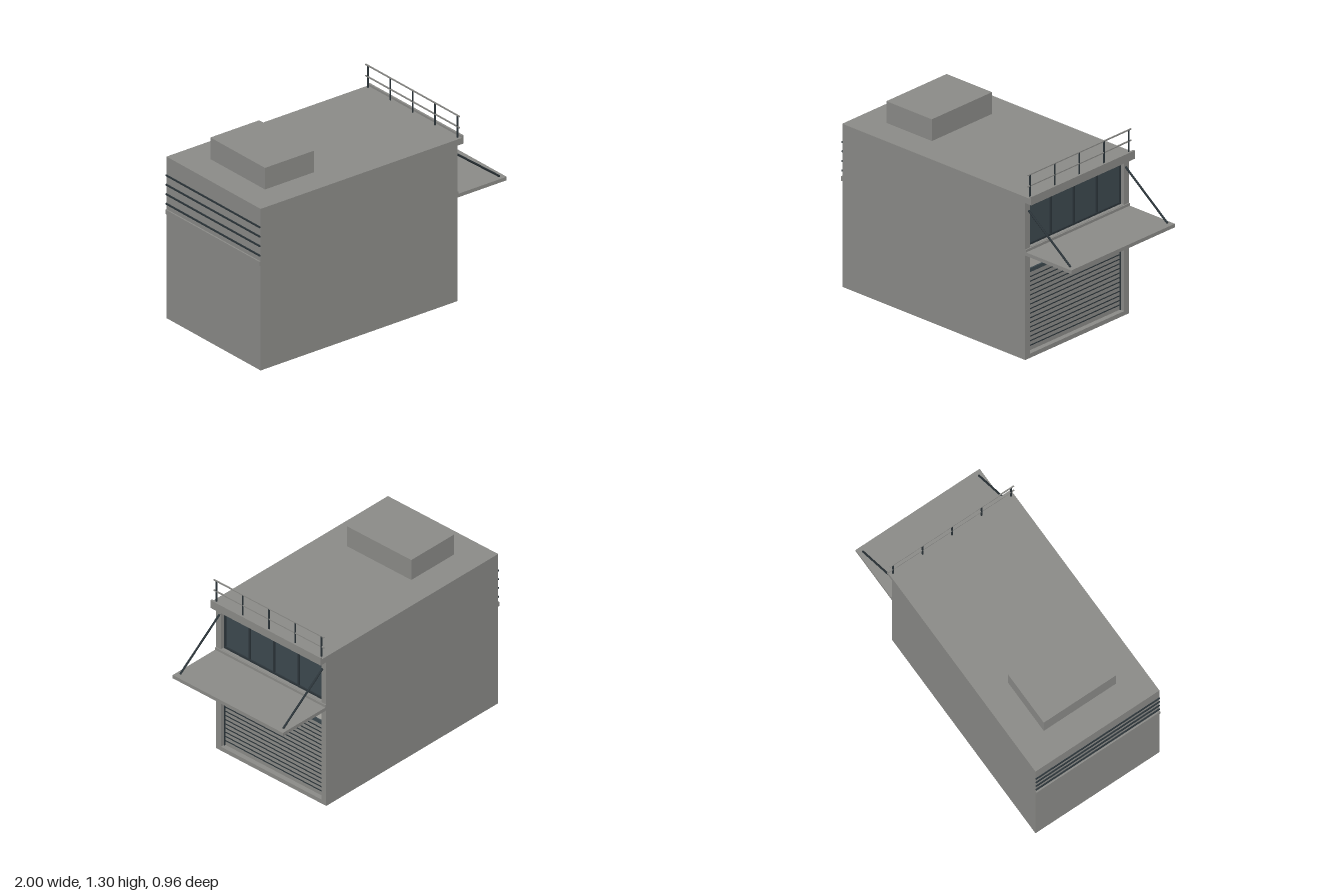
import * as THREE from 'three';

export function createModel() {
  const model = new THREE.Group();
  model.name = 'loadingUnit';

  const mat = (name, color, side = THREE.FrontSide) => {
    const m = new THREE.MeshStandardMaterial({ color, side });
    m.name = name;
    return m;
  };
  const concrete = mat('concreteGrey', 0x8a8a87);
  const pale = mat('paleSignPanel', 0xb5b4ae);
  const glass = mat('darkGlass', 0x3c484e);
  const steel = mat('darkSteel', 0x2b3439);

  const add = (name, geometry, material, parent = model) => {
    const mesh = new THREE.Mesh(geometry, material);
    mesh.name = name;
    parent.add(mesh);
    return mesh;
  };
  // Box given by its minimum and maximum on each axis
  const box = (name, material, x0, x1, y0, y1, z0, z1, parent) => {
    const mesh = add(name, new THREE.BoxGeometry(x1 - x0, y1 - y0, z1 - z0), material, parent);
    mesh.position.set((x0 + x1) / 2, (y0 + y1) / 2, (z0 + z1) / 2);
    return mesh;
  };
  const group = (name) => {
    const g = new THREE.Group();
    g.name = name;
    model.add(g);
    return g;
  };

  const W = 0.478, TOP = 1.14, WALL = 0.6, INNER = 0.56, OPEN = 0.435;

  // Main block and rooftop housing
  box('body', concrete, -0.99, INNER, 0, TOP, -W, W);
  box('roofHousing', concrete, -0.795, -0.4, TOP, 1.292, -0.278, 0.278);

  // Facade wall with a door opening and a window opening
  const rect = (target, z0, z1, y0, y1) => {
    target.moveTo(z0, y0);
    target.lineTo(z1, y0);
    target.lineTo(z1, y1);
    target.lineTo(z0, y1);
    target.closePath();
    return target;
  };
  const wall = rect(new THREE.Shape(), -W, W, 0, TOP);
  wall.holes.push(rect(new THREE.Path(), -OPEN, OPEN, 0.03, 0.73));
  wall.holes.push(rect(new THREE.Path(), -OPEN, OPEN, 0.775, 1.095));
  const facade = add('facade',
    new THREE.ExtrudeGeometry(wall, { depth: WALL - INNER, bevelEnabled: false }), concrete);
  facade.rotation.y = Math.PI / 2;
  facade.position.x = INNER;

  // Roller shutter with grooves, header bar, sign panel and side guides
  const door = group('shutterDoor');
  box('shutter', concrete, INNER, 0.565, 0.03, 0.585, -0.427, 0.427, door);
  for (let i = 0; i < 16; i++) {
    const y = 0.065 + i * 0.032;
    box('shutterGroove', steel, 0.564, 0.569, y - 0.003, y + 0.003, -0.425, 0.425, door);
  }
  box('shutterHeader', glass, INNER, 0.58, 0.585, 0.61, -0.43, 0.43, door);
  box('signPanel', pale, INNER, 0.568, 0.61, 0.73, -0.427, 0.427, door);
  for (const s of [-1, 1]) {
    box('shutterGuide', steel, INNER, 0.575, 0.03, 0.73, s * 0.431 - 0.003, s * 0.431 + 0.003, door);
  }

  // Strip window with frame and mullions
  const win = group('stripWindow');
  box('windowGlass', glass, INNER, 0.567, 0.78, 1.06, -0.43, 0.43, win);
  box('windowHeader', concrete, INNER, 0.58, 1.065, 1.095, -OPEN, OPEN, win);
  box('frameTop', steel, INNER, 0.577, 1.053, 1.065, -0.43, 0.43, win);
  box('frameBottom', steel, INNER, 0.577, 0.775, 0.788, -0.43, 0.43, win);
  for (const z of [-0.426, -0.212, 0, 0.212, 0.426]) {
    box('mullion', steel, INNER, 0.575, 0.78, 1.06, z - 0.006, z + 0.006, win);
  }

  // Canopy, ledge above it and sloping tie rods
  const canopy = group('canopy');
  box('canopySlab', concrete, WALL, 1, 0.73, 0.755, -W, W, canopy);
  box('ledge', concrete, WALL, 0.608, 0.755, 0.773, -W, W, canopy);
  const a = new THREE.Vector3(0.6, 1.035, 0), b = new THREE.Vector3(0.965, 0.758, 0);
  const dir = b.clone().sub(a);
  for (const s of [-1, 1]) {
    const rod = add('tieRod', new THREE.CylinderGeometry(0.007, 0.007, dir.length(), 8), steel, canopy);
    rod.position.copy(a).add(b).multiplyScalar(0.5);
    rod.position.z = s * 0.447;
    rod.quaternion.setFromUnitVectors(new THREE.Vector3(0, 1, 0), dir.clone().normalize());
  }

  // Cornice with a raised lip
  box('cornice', concrete, WALL, 0.652, 1.097, TOP, -W, W);
  box('corniceLip', concrete, 0.638, 0.652, TOP, 1.155, -W, W);

  // Roof railing
  const railing = group('railing');
  for (const z of [-0.455, -0.2275, 0, 0.2275, 0.455]) {
    box('railPost', steel, 0.616, 0.624, TOP, 1.295, z - 0.004, z + 0.004, railing);
  }
  for (const y of [1.217, 1.296]) {
    box('rail', concrete, 0.616, 0.624, y - 0.004, y + 0.004, -W, W, railing);
  }

  // Rear band and dark slats
  const rear = group('rearTrim');
  box('rearBand', concrete, -1, -0.99, 0.738, 0.77, -W, W, rear);
  for (const y of [0.81, 0.877, 0.944, 1.01]) {
    box('rearSlat', steel, -0.998, -0.99, y - 0.005, y + 0.005, -W, W, rear);
  }

  return model;
}
